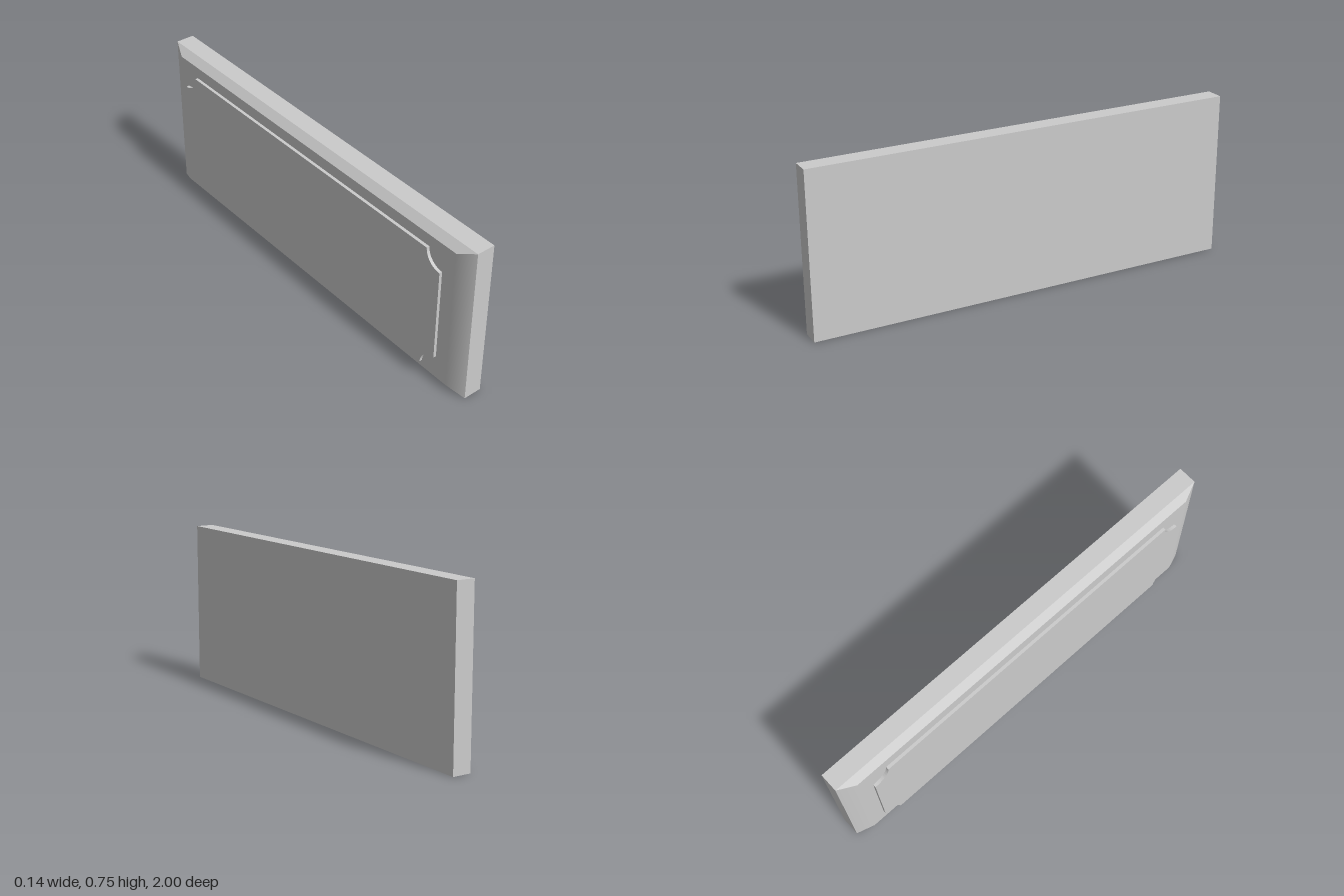
import * as THREE from 'three';
import { toCreasedNormals } from 'three/addons/utils/BufferGeometryUtils.js';

const material = new THREE.MeshStandardMaterial({ color: 0xcccccc });
const HEIGHT = 0.755;

// Slab whose -x face is chamfered on all four sides
function createSlab() {
  const back = 0.07, shoulder = -0.015, face = -0.048;
  const geometry = new THREE.BoxGeometry(2, HEIGHT, 2, 2, 1, 1);
  const pos = geometry.attributes.position;
  for (let i = 0; i < pos.count; i++) {
    const x = pos.getX(i);
    if (x < -0.5) {
      pos.setXYZ(i, face, Math.sign(pos.getY(i)) * (HEIGHT / 2 - 0.032), Math.sign(pos.getZ(i)) * 0.92);
    } else {
      pos.setX(i, x > 0.5 ? back : shoulder);
    }
  }
  const slab = toCreasedNormals(geometry, 0.52);

  // Keep the broad face flat while the shallow end chamfers blend into it
  const p = slab.attributes.position, n = slab.attributes.normal;
  for (let i = 0; i < p.count; i++) {
    if (p.getX(i) < -0.04 && n.getX(i) < -0.85) n.setXYZ(i, -1, 0, 0);
  }
  slab.translate(0, HEIGHT / 2, 0);
  return slab;
}

// Thin raised plate with scooped corners, drawn in z/y and extruded toward -x
function createPlate() {
  const halfLength = 0.86, bottom = 0.077, top = 0.677, scoop = 0.078;
  const corners = [[halfLength, bottom], [halfLength, top], [-halfLength, top], [-halfLength, bottom]];
  const shape = new THREE.Shape();
  corners.forEach(([z, y], i) => {
    const start = Math.PI + i * Math.PI / 2;
    shape.absarc(z, y, scoop, start, start - Math.PI / 2, true);
  });
  shape.closePath();
  const geometry = new THREE.ExtrudeGeometry(shape, { depth: 0.014, bevelEnabled: false, curveSegments: 10 });
  geometry.rotateY(-Math.PI / 2);
  geometry.translate(-0.056, 0, 0);
  return toCreasedNormals(geometry, 0.6);
}

export function createModel() {
  const model = new THREE.Group();
  model.name = 'wallPanel';
  const parts = { slab: createSlab(), raisedPlate: createPlate() };
  for (const [name, geometry] of Object.entries(parts)) {
    const mesh = new THREE.Mesh(geometry, material);
    mesh.name = name;
    model.add(mesh);
  }
  return model;
}
